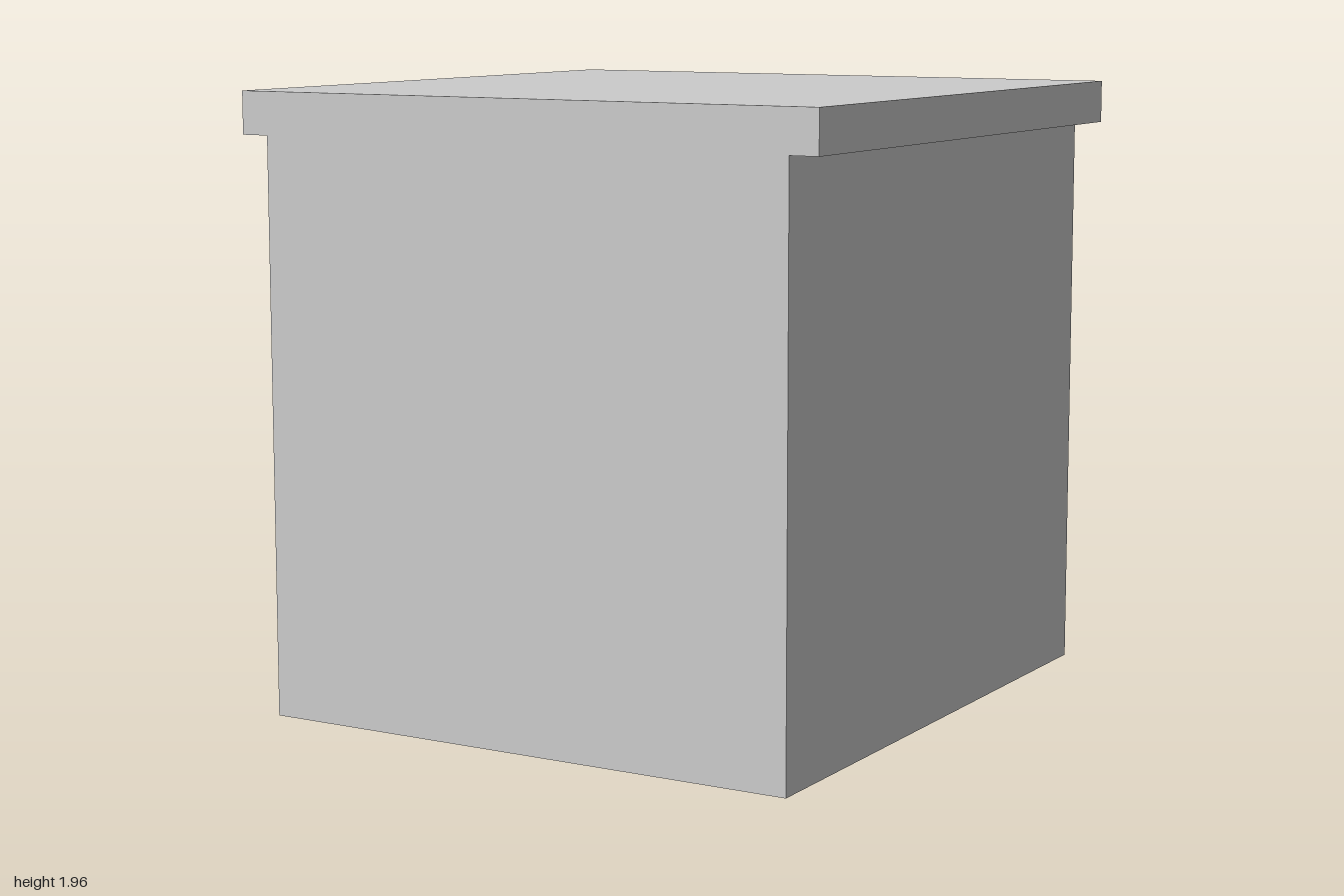
import * as THREE from 'three';

const HEIGHT = 1.957;     // overall height
const LIP_Y = 1.822;      // underside of the overhanging top
const BODY_HALF = 0.907;  // half width of the body
const TOP_HALF = 1;       // half width of the top
const DEPTH = 2;

export function createModel() {
  const group = new THREE.Group();
  group.name = 'block';

  // T-shaped front outline: the body with a lip overhanging on both sides
  const right = [[BODY_HALF, 0], [BODY_HALF, LIP_Y], [TOP_HALF, LIP_Y], [TOP_HALF, HEIGHT]];
  const left = right.map(([x, y]) => [-x, y]).reverse();
  const outline = new THREE.Shape([...right, ...left].map(([x, y]) => new THREE.Vector2(x, y)));

  // One solid, flush at front and back
  const geometry = new THREE.ExtrudeGeometry(outline, { depth: DEPTH, bevelEnabled: false });
  geometry.translate(0, 0, -DEPTH / 2);

  const body = new THREE.Mesh(geometry, new THREE.MeshStandardMaterial({ color: 0xcccccc }));
  body.name = 'bodyWithOverhangingTop';
  group.add(body);
  return group;
}
